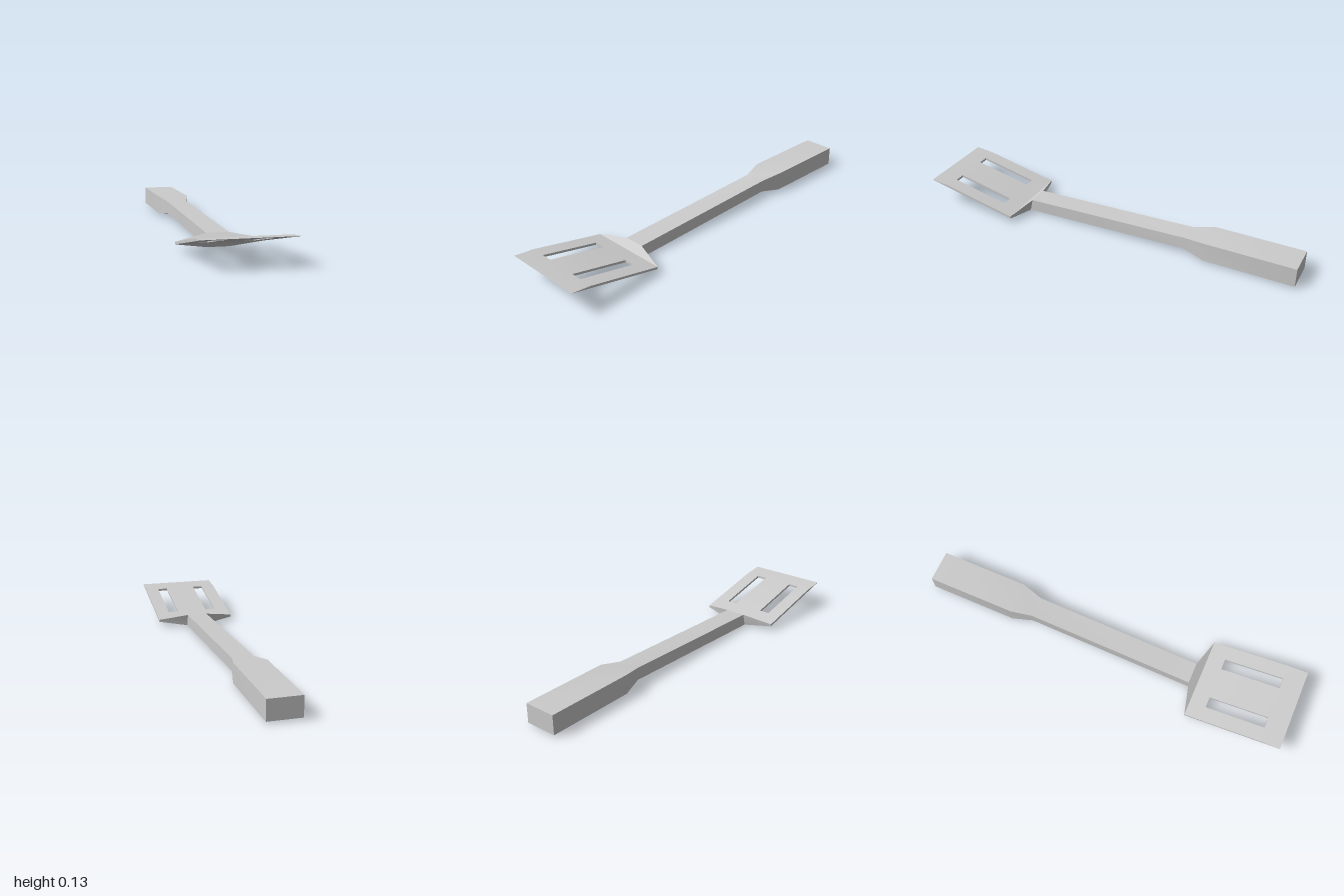
import * as THREE from 'three';
import { toCreasedNormals } from 'three/addons/utils/BufferGeometryUtils.js';

// Collects quads (counter-clockwise from outside) into one mesh
function quadMesh(name, quads) {
  const pos = [];
  for (const [a, b, c, d] of quads) pos.push(...a, ...b, ...c, ...a, ...c, ...d);
  const geo = new THREE.BufferGeometry();
  geo.setAttribute('position', new THREE.Float32BufferAttribute(pos, 3));
  const mesh = new THREE.Mesh(
    toCreasedNormals(geo, 0.5),
    new THREE.MeshStandardMaterial({ color: 0xcccccc })
  );
  mesh.name = name;
  return mesh;
}

// Handle: grip, taper, shaft and flare, lofted through rectangular sections
function createHandle() {
  // half width, bottom y, bottom z, top y, top z
  const sections = [
    [0.083, 0.01, -1, 0.11, -1],
    [0.083, 0.01, -0.535, 0.11, -0.535],
    [0.055, 0.028, -0.425, 0.093, -0.425],
    [0.055, 0, 0.478, 0.065, 0.463],
    [0.213, 0.025, 0.505, 0.037, 0.505],
  ];
  const rings = sections.map(([w, b, bz, t, tz]) => [
    [-w, b, bz], [w, b, bz], [w, t, tz], [-w, t, tz],
  ]);
  const quads = [[...rings[0]].reverse()];
  for (let s = 0; s < rings.length - 1; s++) {
    for (let i = 0; i < 4; i++) {
      const j = (i + 1) % 4;
      quads.push([rings[s][i], rings[s][j], rings[s + 1][j], rings[s + 1][i]]);
    }
  }
  return quadMesh('handle', quads);
}

// Blade: sloping plate of grid cells, two cells left open as slots
function createBlade() {
  const xs = [-0.213, -0.139, -0.083, 0.083, 0.139, 0.213];
  const zs = [0.505, 0.59, 0.895, 1];
  const bottomY = [0.025, 0.0435, 0.11, 0.133];
  const topY = [0.037, 0.0555, 0.122, 0.133];
  const solid = (i, k) =>
    i >= 0 && i < 5 && k >= 0 && k < 3 && !(k === 1 && (i === 1 || i === 3));
  const low = ([i, k]) => [xs[i], bottomY[k], zs[k]];
  const high = ([i, k]) => [xs[i], topY[k], zs[k]];

  const quads = [];
  for (let i = 0; i < 5; i++) {
    for (let k = 0; k < 3; k++) {
      if (!solid(i, k)) continue;
      const c = [[i, k], [i, k + 1], [i + 1, k + 1], [i + 1, k]];
      quads.push(c.map(high), c.map(low).reverse());
      // Walls at the outer sides and around the slots
      [[-1, 0], [0, 1], [1, 0], [0, -1]].forEach(([di, dk], e) => {
        const nk = k + dk;
        if (nk < 0 || nk > 2 || solid(i + di, nk)) return;
        const p = c[e], q = c[(e + 1) % 4];
        quads.push([low(p), low(q), high(q), high(p)]);
      });
    }
  }
  return quadMesh('blade', quads);
}

export function createModel() {
  const group = new THREE.Group();
  group.name = 'spatula';
  group.add(createHandle(), createBlade());
  return group;
}
